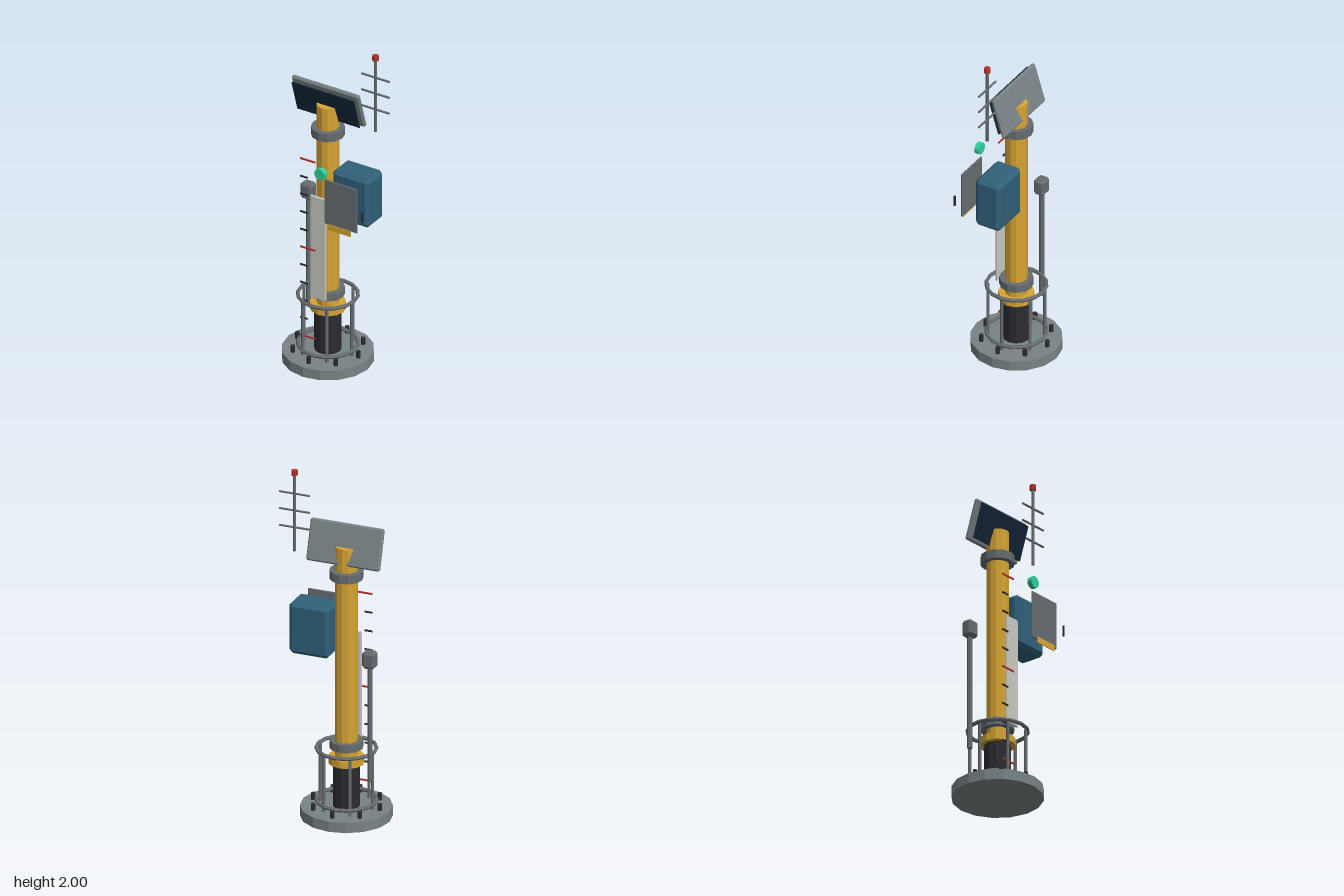
import * as THREE from 'three';
import { ConvexGeometry } from 'three/addons/geometries/ConvexGeometry.js';

const CX = -0.073; // axis of the column

function paint(name, color) {
  const m = new THREE.MeshStandardMaterial({ color, flatShading: true });
  m.name = name;
  return m;
}

// Box with every edge cut at 45 degrees
function chamferBox(w, h, d, c) {
  const pts = [];
  for (const x of [-1, 1]) for (const y of [-1, 1]) for (const z of [-1, 1]) {
    pts.push(new THREE.Vector3(x * w / 2, y * (h / 2 - c), z * (d / 2 - c)));
    pts.push(new THREE.Vector3(x * (w / 2 - c), y * h / 2, z * (d / 2 - c)));
    pts.push(new THREE.Vector3(x * (w / 2 - c), y * (h / 2 - c), z * d / 2));
  }
  return new ConvexGeometry(pts);
}

export function createModel() {
  const root = new THREE.Group();
  root.name = 'monitoringStation';

  const steel = paint('steel grey', 0x788385);
  const metal = paint('dark metal grey', 0x666c70);
  const black = paint('black rubber', 0x2b2b31);
  const yellow = paint('safety yellow', 0xd6a433);
  const blue = paint('cabinet blue', 0x30607a);
  const navy = paint('solar navy', 0x16273b);
  const white = paint('gauge white', 0xc8cac2);
  const red = paint('signal red', 0xb5322e);
  const teal = paint('lamp teal', 0x2fd09c);

  function add(name, geometry, material, x, y, z, parent = root) {
    const mesh = new THREE.Mesh(geometry, material);
    mesh.name = name;
    mesh.position.set(x, y, z);
    parent.add(mesh);
    return mesh;
  }
  // Upright cylinder given by its bottom and top heights
  function post(name, r, y0, y1, material, x, z, sides = 12) {
    return add(name, new THREE.CylinderGeometry(r, r, y1 - y0, sides), material, x, (y0 + y1) / 2, z);
  }

  // Footing and anchor bolts
  post('footing', 0.255, 0, 0.06, steel, CX, 0, 16);
  for (let i = 0; i < 8; i++) {
    const a = i * Math.PI / 4;
    post('anchorBolt', 0.0125, 0.055, 0.1, black, CX + 0.197 * Math.sin(a), 0.197 * Math.cos(a));
  }

  // Column with its sleeve and collars
  post('columnSleeve', 0.075, 0.06, 0.32, black, CX, 0);
  post('column', 0.063, 0.32, 1.6, yellow, CX, 0);
  post('yellowCollar', 0.1, 0.315, 0.355, yellow, CX, 0);
  post('lowerCollar', 0.094, 0.405, 0.45, metal, CX, 0);
  post('upperCollar', 0.094, 1.41, 1.46, metal, CX, 0);

  // Guard cage
  for (const y of [0.095, 0.402]) {
    const ring = add('guardRing', new THREE.TorusGeometry(0.166, 0.011, 6, 16), metal, CX, y, 0);
    ring.rotation.x = Math.PI / 2;
  }
  for (let i = 0; i < 6; i++) {
    const a = i * Math.PI / 3;
    post('guardPost', 0.0095, 0.06, 0.402, metal, CX + 0.155 * Math.cos(a), 0.155 * Math.sin(a), 8);
  }

  // Level gauge board and its tick marks
  add('gaugeBoard', chamferBox(0.1, 0.645, 0.014, 0.004), white, CX, 0.7375, 0.098);
  for (let i = 0; i < 11; i++) {
    const major = i % 5 === 0;
    const w = major ? 0.097 : 0.047;
    add(major ? 'majorTick' : 'minorTick', new THREE.BoxGeometry(w, 0.009, 0.006),
      major ? red : black, -0.177 + w / 2, 0.171 + i * 0.1113, 0.119);
  }

  // Sensor head on its conduit
  post('conduit', 0.0145, 0.26, 0.96, metal, -0.238, -0.062, 8);
  add('sensorHead', chamferBox(0.076, 0.097, 0.064, 0.013), metal, -0.238, 0.977, -0.061);

  // Equipment cabinet, door, label plate, handle and lamp
  add('cabinet', chamferBox(0.242, 0.306, 0.162, 0.022), blue, 0.12, 1.091, 0);
  add('cabinetDoor', chamferBox(0.212, 0.278, 0.009, 0.003), metal, 0.119, 1.095, 0.17);
  add('labelPlate', new THREE.BoxGeometry(0.146, 0.036, 0.004), yellow, 0.119, 0.948, 0.184);
  post('doorHandle', 0.0065, 1.048, 1.11, black, 0.268, 0.188, 8);
  const lamp = add('statusLamp', new THREE.CylinderGeometry(0.034, 0.034, 0.028, 12), teal, 0.001, 1.273, 0.19);
  lamp.rotation.x = Math.PI / 2;

  // Tilted solar panel
  const panel = new THREE.Group();
  panel.name = 'solarPanel';
  panel.position.set(CX, 1.613, -0.0125);
  panel.rotation.x = 0.3;
  root.add(panel);
  add('panelFrame', chamferBox(0.435, 0.236, 0.026, 0.008), steel, 0, 0, 0, panel);
  add('solarGlass', new THREE.BoxGeometry(0.4, 0.205, 0.005), navy, 0, 0, 0.034, panel);
  for (const x of [-0.199, 0, 0.199]) {
    add('cellLine', new THREE.BoxGeometry(0.003, 0.2, 0.002), black, x, 0, 0.039, panel);
  }
  add('cellLine', new THREE.BoxGeometry(0.4, 0.003, 0.002), black, 0, -0.072, 0.038, panel);

  // Antenna with crossbars and a red tip
  post('antennaMast', 0.009, 1.52, 1.98, metal, 0.235, 0, 8);
  post('antennaTip', 0.018, 1.97, 2, red, 0.235, 0);
  for (const y of [1.66, 1.76, 1.86]) {
    const bar = add('antennaBar', new THREE.CylinderGeometry(0.006, 0.006, 0.18, 8), metal, 0.235, y, 0);
    bar.rotation.z = Math.PI / 2;
  }

  return root;
}
